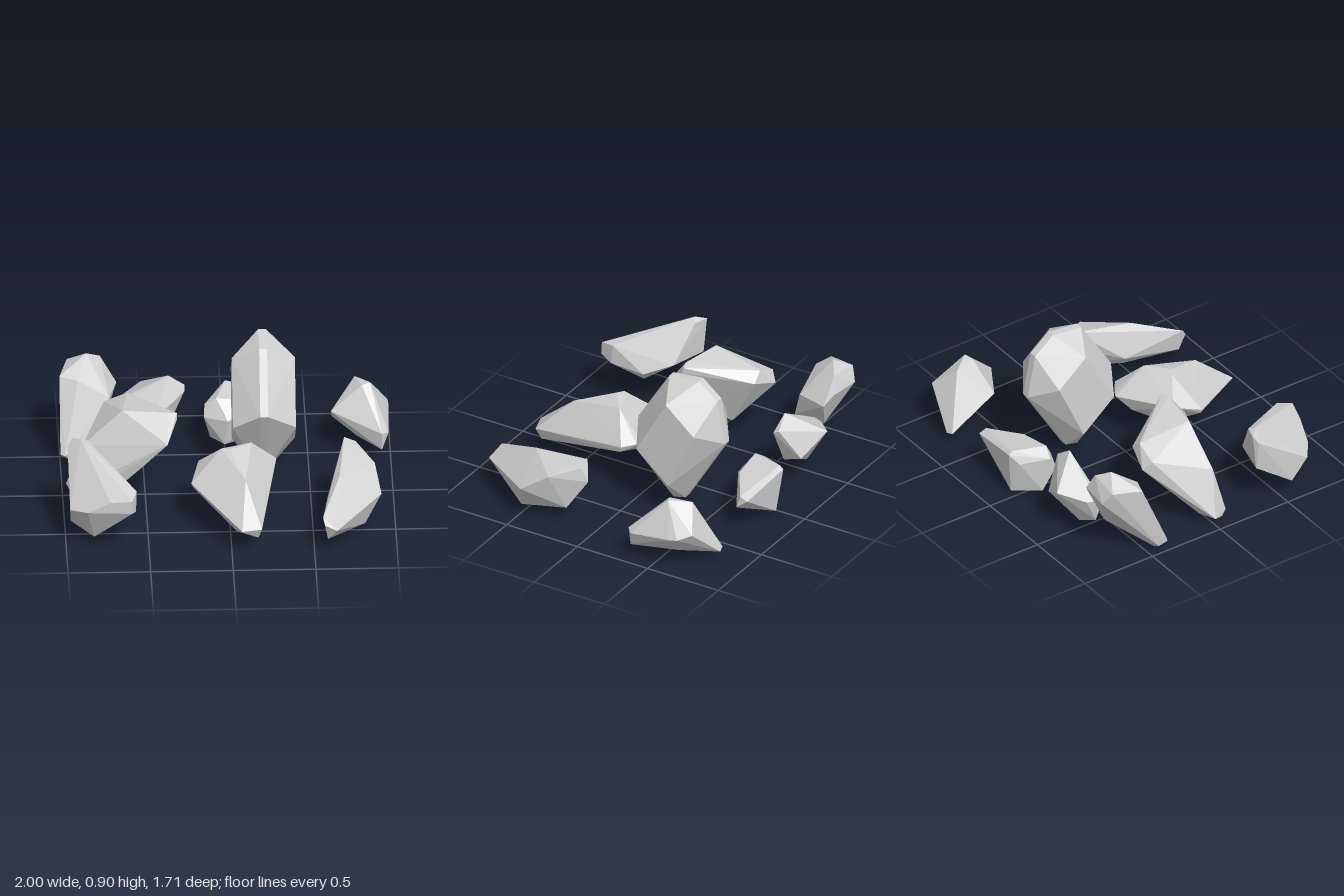
import * as THREE from 'three';
import { ConvexGeometry } from 'three/addons/geometries/ConvexGeometry.js';

const stone = new THREE.MeshStandardMaterial({ color: 0xd2d2d2 });
stone.name = 'light grey stone';

// A faceted rock is the convex hull of a few corner points
function rock(name, corners) {
  const points = corners.map((c) => new THREE.Vector3(...c));
  const mesh = new THREE.Mesh(new ConvexGeometry(points), stone);
  mesh.name = name;
  return mesh;
}

// Upright crystal: a bevelled ridge loop [y, z] between two mirrored flat sides
function tallRock() {
  const ridge = [[0.905, -0.4], [0.88, -0.19], [0.53, 0.03], [0.04, -0.22], [0.06, -0.305], [0.52, -0.585], [0.8, -0.53]];
  const side = [[0.78, -0.27], [0.615, -0.465], [0.22, -0.285], [0.41, -0.06]];
  const corners = [];
  for (const s of [-1, 1]) {
    for (const [y, z] of ridge) corners.push([0.22 + s * 0.024, y, z]);
    for (const [y, z] of side) corners.push([0.224 + s * 0.191, y, z]);
  }
  return rock('tallRock', corners);
}

const ROCKS = {
  backRightRock: [
    [-0.835, 0.605, -0.69], [-0.75, 0.555, -0.75], [-0.7, 0.45, -0.78], [-0.65, 0.38, -0.735],
    [-0.9, 0.45, -0.805], [-0.95, 0.53, -0.76], [-1, 0.51, -0.575], [-0.89, 0.5, -0.535],
    [-0.7, 0.38, -0.535], [-0.75, 0.2, -0.47], [-0.97, 0.07, -0.375], [-1, 0.07, -0.39],
    [-0.92, 0, -0.43], [-0.98, 0.04, -0.44], [-0.75, 0.2, -0.68],
  ],
  backInnerRock: [
    [-0.5, 0.32, -0.855], [-0.31, 0.2, -0.785], [-0.24, 0.39, -0.67], [-0.24, 0.37, -0.63],
    [-0.34, 0.465, -0.65], [-0.44, 0.2, -0.545], [-0.65, 0.26, -0.625], [-0.66, 0.28, -0.67],
    [-0.635, 0.28, -0.73], [-0.515, 0.07, -0.7], [-0.33, 0.145, -0.65], [-0.63, 0.12, -0.66],
  ],
  backMiddleRock: [
    [0.01, 0.31, -0.855], [0.01, 0.33, -0.83], [0.37, 0.25, -0.82], [0.37, 0.27, -0.77],
    [0.375, 0.19, -0.745], [0.02, 0.2, -0.54], [-0.125, 0.2, -0.6], [-0.12, 0.27, -0.64],
    [-0.04, 0.25, -0.81], [-0.05, 0.32, -0.62], [0.16, 0.29, -0.635], [-0.085, 0.03, -0.67],
    [0.037, 0.02, -0.82], [0.09, 0.02, -0.64], [0, 0.03, -0.57],
  ],
  backLeftRock: [
    [0.83, 0.43, -0.55], [0.88, 0.44, -0.57], [0.79, 0.42, -0.69], [0.7, 0.07, -0.83],
    [0.655, 0.08, -0.82], [0.935, 0.28, -0.775], [0.99, 0.25, -0.7], [0.995, 0.24, -0.65],
    [0.985, 0.2, -0.37], [0.945, 0.21, -0.33], [0.945, 0.096, -0.345], [0.675, 0.28, -0.51],
    [0.64, 0.27, -0.52], [0.8, 0.06, -0.6],
  ],
  rightSlabRock: [
    [-0.7, 0.41, -0.365], [-0.74, 0.47, -0.32], [-0.6, 0.53, -0.315], [-0.53, 0.47, -0.32],
    [-0.64, 0.585, 0.02], [-0.36, 0.59, 0.065], [-0.31, 0.58, 0.05], [-0.31, 0.54, 0.06],
    [-0.37, 0.43, 0.18], [-0.88, 0.36, 0.03], [-0.98, 0.07, -0.02], [-0.95, 0.05, 0.05],
    [-0.935, 0.08, 0.085], [-0.88, 0.05, 0.09], [-0.69, 0.08, 0.1], [-0.5, 0.2, 0],
    [-0.6, 0.12, -0.12], [-0.85, 0.05, -0.05],
  ],
  frontRightRock: [
    [-0.9, 0.56, 0.33], [-0.95, 0.54, 0.275], [-0.98, 0.5, 0.3], [-0.86, 0.54, 0.305],
    [-0.71, 0.3, 0.365], [-0.61, 0.24, 0.52], [-0.575, 0.4, 0.715], [-0.58, 0.27, 0.73],
    [-0.605, 0.38, 0.81], [-0.605, 0.3, 0.815], [-0.735, 0.355, 0.775], [-0.87, 0.27, 0.74],
    [-0.975, 0.25, 0.66], [-0.97, 0.12, 0.55], [-0.83, 0.06, 0.65], [-0.95, 0.3, 0.3],
  ],
  frontMiddleRock: [
    [0, 0.475, 0.335], [-0.05, 0.47, 0.31], [0.135, 0.465, 0.23], [0.17, 0.29, 0.045],
    [0.21, 0.3, 0.065], [0.09, 0.39, 0.58], [-0.185, 0.34, 0.22], [-0.235, 0.28, 0.4],
    [-0.22, 0.25, 0.4], [0.29, 0.3, 0.125], [0.28, 0.26, 0.14], [0.06, 0.175, 0.835],
    [0.18, 0.17, 0.8], [0.16, 0.1, 0.77], [0.035, 0.055, 0.6], [0.1, 0.2, 0.12], [0, 0.1, 0.3],
  ],
  frontLeftRock: [
    [0.74, 0.36, 0.085], [0.7, 0.43, 0.11], [0.77, 0.4, 0.11], [0.88, 0.34, 0.28],
    [0.915, 0.22, 0.455], [0.66, 0.37, 0.5], [0.55, 0.25, 0.81], [0.56, 0.21, 0.835],
    [0.635, 0.18, 0.85], [0.58, 0.1, 0.8], [0.59, 0.18, 0.41], [0.815, 0.05, 0.51],
    [0.68, 0.08, 0.45], [0.8, 0.11, 0.2], [0.76, 0.31, 0.07],
  ],
};

export function createModel() {
  const group = new THREE.Group();
  group.name = 'rockCluster';
  group.add(tallRock());
  for (const [name, corners] of Object.entries(ROCKS)) group.add(rock(name, corners));
  return group;
}
